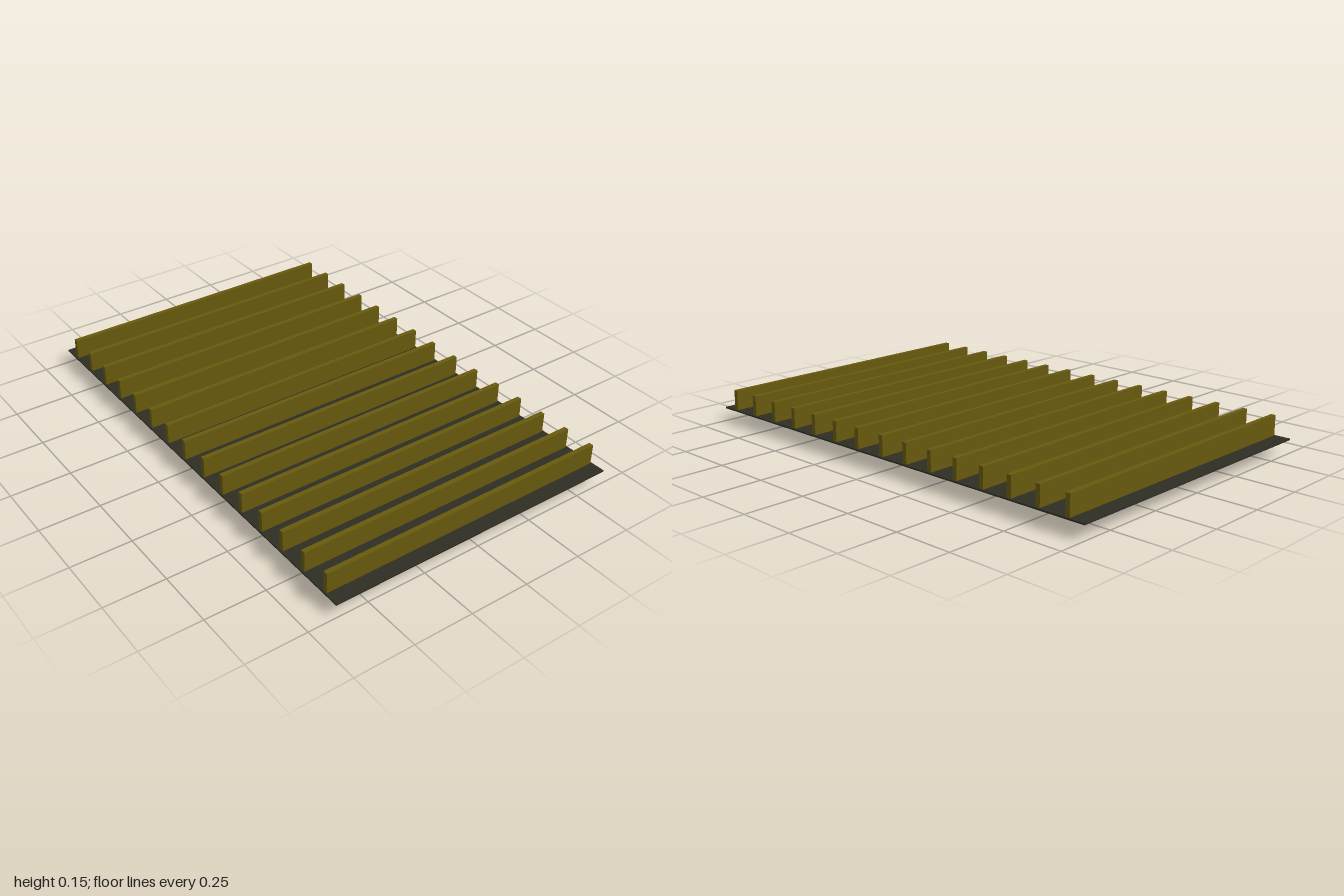
import * as THREE from 'three';

// Closed solid lofted through rectangles [halfX, y, halfZ], listed bottom to top
function loftRects(sections) {
  const pos = [];
  const corners = ([x, y, z]) => [[-x, y, z], [x, y, z], [x, y, -z], [-x, y, -z]];
  const quad = (a, b, c, d) => pos.push(...a, ...b, ...c, ...a, ...c, ...d);
  const rings = sections.map(corners);
  for (let i = 0; i < rings.length - 1; i++) {
    const lo = rings[i], hi = rings[i + 1];
    for (let k = 0; k < 4; k++) {
      const n = (k + 1) % 4;
      quad(lo[k], lo[n], hi[n], hi[k]);
    }
  }
  const b = rings[0], t = rings[rings.length - 1];
  quad(b[3], b[2], b[1], b[0]);
  quad(t[0], t[1], t[2], t[3]);
  const g = new THREE.BufferGeometry();
  g.setAttribute('position', new THREE.Float32BufferAttribute(pos, 3));
  g.computeVertexNormals();
  return g;
}

export function createModel() {
  const model = new THREE.Group();
  model.name = 'finnedPanel';
  const dark = new THREE.MeshStandardMaterial({ name: 'darkPanel', color: 0x2e2d24 });
  const olive = new THREE.MeshStandardMaterial({ name: 'oliveSlat', color: 0x675a0d });

  // Panel: recessed foot, sloping underside and thin rim
  const panel = new THREE.Mesh(loftRects([
    [0.815, 0, 0.52],
    [0.822, 0.03, 0.525],
    [1, 0.055, 0.635],
    [1, 0.061, 0.635],
  ]), dark);
  panel.name = 'panel';
  model.add(panel);

  // Slats: two evenly spaced runs with a slightly wider gap right of centre
  const slats = new THREE.Group();
  slats.name = 'slats';
  const slatGeometry = new THREE.BoxGeometry(0.02, 0.086, 1.256);
  for (let i = 0; i < 15; i++) {
    const x = i < 8 ? -0.922 + i * 0.1315 : 0.139 + (i - 8) * 0.1315;
    const slat = new THREE.Mesh(slatGeometry, olive);
    slat.name = 'slat' + (i + 1);
    slat.position.set(x, 0.103, 0);
    slats.add(slat);
  }
  model.add(slats);
  return model;
}
